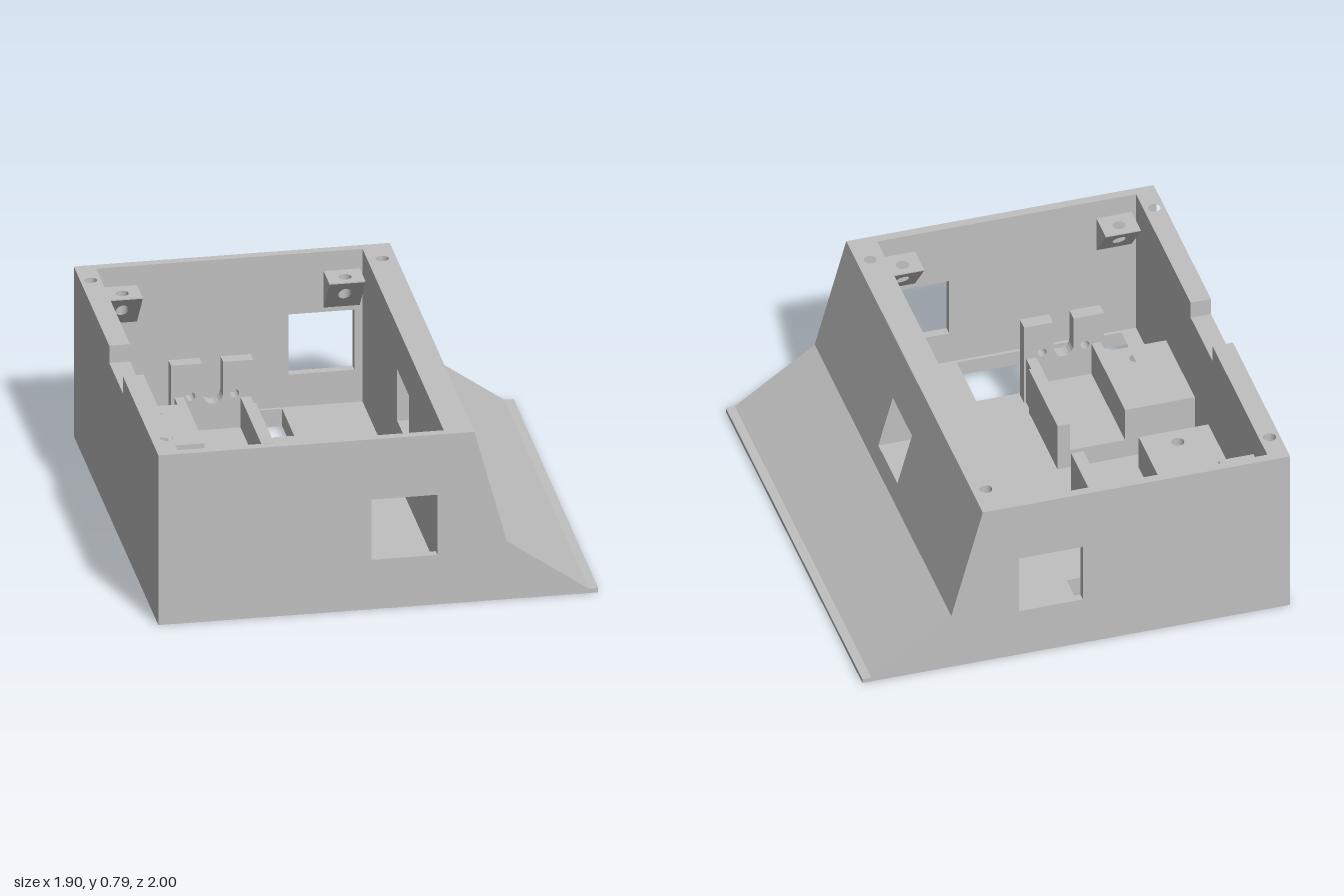
import * as THREE from 'three';

const grey = new THREE.MeshStandardMaterial({ color: 0xc0c0c0 });
grey.name = 'light grey plastic';

const FLOOR = 0.08, TOP = 0.79, HOLE_BOTTOM = 0.49;
const slopeX = (y) => 0.415 + (0.14 * (TOP - y)) / 0.52; // outer face of the sloped wall

const rect = (a0, b0, a1, b1) => [[a0, b0], [a1, b0], [a1, b1], [a0, b1]];

function makeShape(points, polyHoles, roundHoles) {
  const v = (list) => list.map(([a, b]) => new THREE.Vector2(a, b));
  const shape = new THREE.Shape(v(points));
  polyHoles.forEach((h) => shape.holes.push(new THREE.Path(v(h))));
  roundHoles.forEach(([a, b, r]) =>
    shape.holes.push(new THREE.Path().absarc(a, b, r, 0, Math.PI * 2, true)));
  return shape;
}

// Outline in x-y, extruded from z0 to z1
function panel(points, z0, z1, polyHoles = [], roundHoles = []) {
  const g = new THREE.ExtrudeGeometry(makeShape(points, polyHoles, roundHoles),
    { depth: z1 - z0, bevelEnabled: false, curveSegments: 12 });
  return g.translate(0, 0, z0);
}

// Outline in x-z, extruded from y0 to y1
function slab(points, y0, y1, polyHoles = [], roundHoles = []) {
  const flip = (list) => list.map(([x, z, ...r]) => [x, -z, ...r]);
  const g = new THREE.ExtrudeGeometry(
    makeShape(flip(points), polyHoles.map(flip), flip(roundHoles)),
    { depth: y1 - y0, bevelEnabled: false, curveSegments: 12 });
  return g.rotateX(-Math.PI / 2).translate(0, y0, 0);
}

// Move each vertex by a rule
function reshape(g, rule) {
  const p = g.attributes.position;
  const v = new THREE.Vector3();
  for (let i = 0; i < p.count; i++) {
    rule(v.fromBufferAttribute(p, i));
    p.setXYZ(i, v.x, v.y, v.z);
  }
  g.computeVertexNormals();
  return g;
}

export function createModel() {
  const model = new THREE.Group();
  model.name = 'chassis';
  const add = (name, geometry) => {
    const mesh = new THREE.Mesh(geometry, grey);
    mesh.name = name;
    model.add(mesh);
  };

  // Floor with two wheel openings
  add('floor', slab(rect(-0.95, -0.96, 0.29, 0.96), 0, FLOOR,
    [1, -1].map((s) => rect(-0.79, s * 0.66, -0.06, s * 0.945))));

  // Rear wall with a cable notch in its rim
  add('rearWallLower', slab(rect(-0.95, -0.96, -0.86, 0.96), FLOOR, HOLE_BOTTOM));
  add('rearWallNotch', slab(rect(-0.95, -0.16, -0.86, 0.16), HOLE_BOTTOM, 0.71));

  // Sloped wall and ramp, cut below and above the central window
  const ramp = [[0.95, 0], [0.95, 0.02], [0.91, 0.02], [0.555, 0.27]];
  const below = (y) => [[0.29, 0], ...ramp, [slopeX(y), y], [0.29, y]];
  add('rampMiddle', panel(below(0.35), -0.14, 0.14));
  add('windowLintel', panel(
    [[0.29, 0.59], [slopeX(0.59), 0.59], [0.415, TOP], [0.29, TOP]], -0.14, 0.14));

  for (const s of [1, -1]) {
    const span = (a, b) => [Math.min(s * a, s * b), Math.max(s * a, s * b)];

    // Side wall with a square window
    add('sideWall', panel([[-0.95, 0], ...ramp, [0.415, TOP], [-0.95, TOP]],
      ...span(0.96, 1), [rect(-0.03, 0.23, 0.255, 0.51)]));

    // Rims with screw holes
    add('rearWallRim', slab(rect(-0.95, s * 0.16, -0.86, s * 0.96),
      HOLE_BOTTOM, TOP, [], [[-0.905, s * 0.845, 0.027]]));
    add('rampSide', panel(below(HOLE_BOTTOM), ...span(0.14, 0.96)));
    add('slopedWallRim', reshape(
      slab(rect(0.29, s * 0.14, 0.415, s * 0.96), HOLE_BOTTOM, TOP, [],
        [[0.355, s * 0.845, 0.027]]),
      (v) => { if (v.x > 0.41) v.x = slopeX(v.y); }));

    // Wedge tabs with a vertical screw hole
    for (const x of [-0.762, 0.2]) {
      add('screwTab', reshape(
        slab(rect(x - 0.078, s * 0.825, x + 0.078, s * 0.96), 0.53, 0.7, [],
          [[x, s * 0.885, 0.028]]),
        (v) => {
          if (v.y < 0.6) v.y = 0.695 - (0.165 * (Math.abs(v.z) - 0.825)) / 0.135;
        }));
    }

    // Motor mount: drilled block, cradle and rail
    add('motorBlock', slab(
      [[-0.86, 0.1], [-0.55, 0.1], [-0.55, 0.59], [-0.59, 0.59], [-0.59, 0.52], [-0.86, 0.52]]
        .map(([x, z]) => [x, s * z]), FLOOR, 0.33, [],
      [[-0.7, s * 0.18, 0.027], [-0.7, s * 0.437, 0.027]]));
    add('motorCradle', slab(rect(-0.55, s * 0.1, -0.305, s * 0.59), FLOOR, 0.17));
    add('motorRail', slab(
      [[-0.305, 0.1], [-0.25, 0.1], [-0.25, 0.52], [-0.26, 0.52], [-0.26, 0.59], [-0.305, 0.59]]
        .map(([x, z]) => [x, s * z]), FLOOR, 0.31));

    // Upright bracket with a round-bottomed shaft slot
    const slot = [];
    for (let i = 0; i <= 10; i++) {
      const a = (i / 10) * Math.PI;
      slot.push([-0.425 + 0.045 * Math.cos(a), 0.335 - 0.045 * Math.sin(a)]);
    }
    add('shaftBracket', panel(
      [[-0.605, FLOOR], [-0.25, FLOOR], [-0.25, 0.48], [-0.38, 0.48], ...slot,
        [-0.47, 0.48], [-0.605, 0.48]],
      ...span(0.59, 0.65), [], [[-0.52, 0.33, 0.02], [-0.33, 0.33, 0.02]]));
  }
  return model;
}
